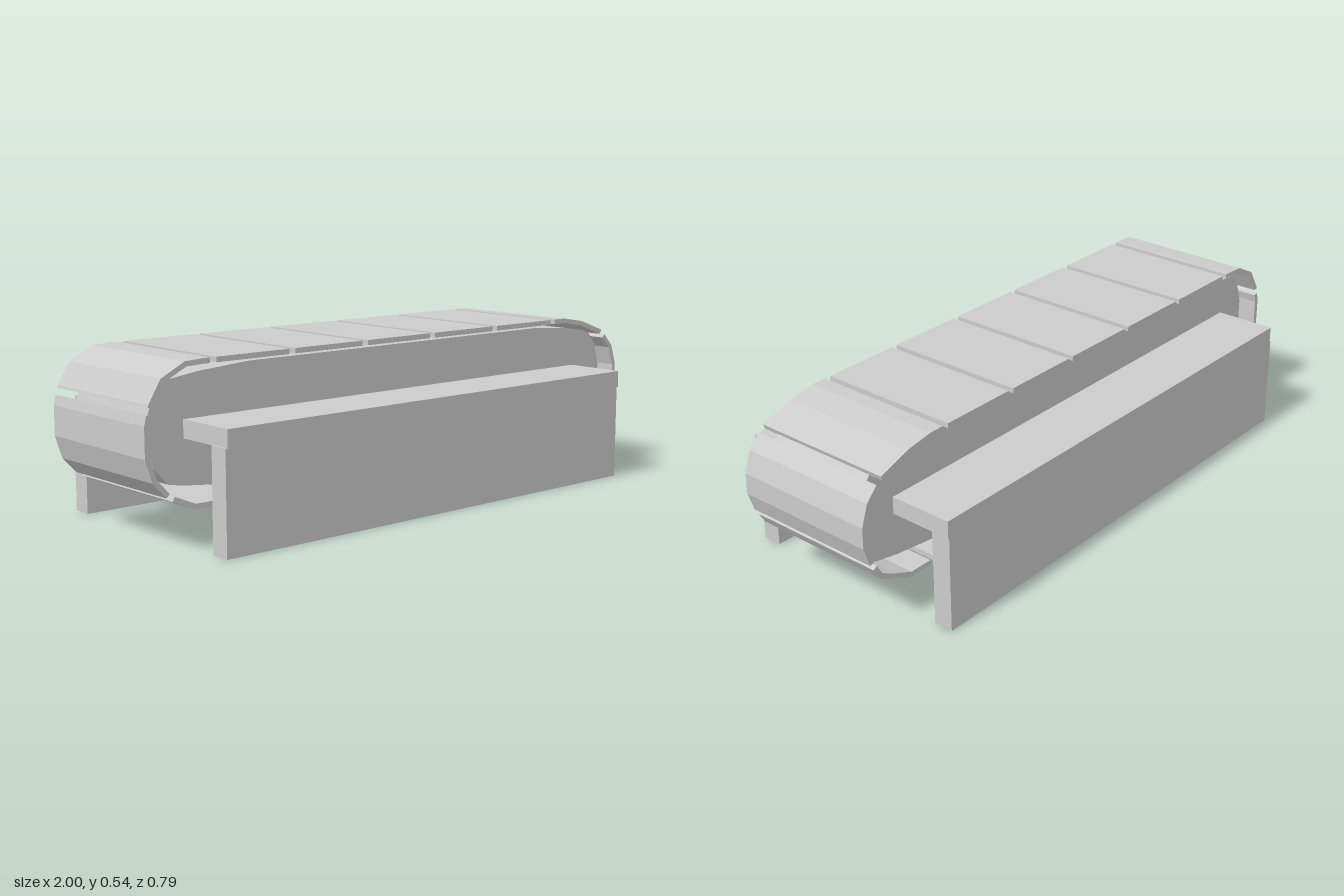
import * as THREE from 'three';

const material = new THREE.MeshStandardMaterial({ color: 0xcccccc, flatShading: true });
const V = (x, y) => new THREE.Vector2(x, y);

// Centre line of the tread loop, clockwise from a joint on the top run
const loop = [
  [-0.765, 0.533], [0.72, 0.533], [0.81, 0.518], [0.915, 0.482], [0.97, 0.425], [0.992, 0.36],
  [0.992, 0.295], [0.972, 0.235], [0.938, 0.178], [0.886, 0.151], [0.82, 0.123], [-0.835, 0.123],
  [-0.92, 0.16], [-0.97, 0.213], [-0.992, 0.28], [-0.992, 0.37], [-0.978, 0.425], [-0.938, 0.491],
  [-0.86, 0.53], [-0.8, 0.533], [-0.765, 0.533],
].map(([x, y]) => V(x, y));

// Side profile of the inner body
const bodyProfile = [
  [-0.6, 0.51], [0.63, 0.51], [0.8, 0.497], [0.91, 0.48], [0.95, 0.43], [0.97, 0.36], [0.97, 0.3],
  [0.95, 0.235], [0.91, 0.19], [0.82, 0.172], [0.63, 0.148], [-0.6, 0.148], [-0.84, 0.175],
  [-0.89, 0.185], [-0.935, 0.235], [-0.958, 0.3], [-0.958, 0.37], [-0.935, 0.44], [-0.89, 0.482],
  [-0.78, 0.497],
].map(([x, y]) => V(x, y));

function slab(name, points, z0, z1) {
  const geometry = new THREE.ExtrudeGeometry(new THREE.Shape(points), { depth: z1 - z0, bevelEnabled: false });
  geometry.translate(0, 0, z0);
  const mesh = new THREE.Mesh(geometry, material);
  mesh.name = name;
  return mesh;
}

function box(name, x0, x1, y0, y1, z0, z1) {
  const mesh = new THREE.Mesh(new THREE.BoxGeometry(x1 - x0, y1 - y0, z1 - z0), material);
  mesh.position.set((x0 + x1) / 2, (y0 + y1) / 2, (z0 + z1) / 2);
  mesh.name = name;
  return mesh;
}

// Plates of the tread: pieces of the loop, thickened, with a gap at each joint
function createTread() {
  const group = new THREE.Group();
  group.name = 'tread';
  const count = 16, gap = 0.022, half = 0.008;
  const lengths = [0];
  for (let i = 1; i < loop.length; i++) lengths.push(lengths[i - 1] + loop[i].distanceTo(loop[i - 1]));
  const total = lengths[lengths.length - 1];

  const pointAt = (s) => {
    let i = 1;
    while (i < loop.length - 1 && lengths[i] < s) i++;
    return loop[i - 1].clone().lerp(loop[i], (s - lengths[i - 1]) / (lengths[i] - lengths[i - 1]));
  };
  // Five even plates on the top run, the rest share what remains
  const joint = (i) => (i < 6 ? i * 0.285 : 1.425 + ((i - 5) * (total - 1.425)) / (count - 5));

  for (let k = 0; k < count; k++) {
    const a = joint(k) + gap / 2, b = joint(k + 1) - gap / 2;
    const path = [pointAt(a), ...loop.filter((p, i) => lengths[i] > a + 0.004 && lengths[i] < b - 0.004), pointAt(b)];
    const offset = (d) => path.map((p, i) => {
      const along = path[Math.min(i + 1, path.length - 1)].clone().sub(path[Math.max(i - 1, 0)]).normalize();
      return V(p.x - along.y * d, p.y + along.x * d);
    });
    group.add(slab('treadPlate', [...offset(half), ...offset(-half).reverse()], -0.235, 0.24));
  }
  return group;
}

export function createModel() {
  const model = new THREE.Group();
  model.name = 'trackUnit';
  model.add(slab('innerBody', bodyProfile, -0.185, 0.185));
  model.add(createTread());

  // Side shelf and hanging skirt on each side
  for (const side of [1, -1]) {
    const z = (a, b) => (side > 0 ? [a, b] : [-b, -a]);
    model.add(box('sideShelf', -0.833, 0.83, 0.31, 0.365, ...z(0.17, 0.393)));
    model.add(box('sideSkirt', -0.84, 0.825, 0, 0.312, ...z(0.328, 0.392)));
  }
  return model;
}
